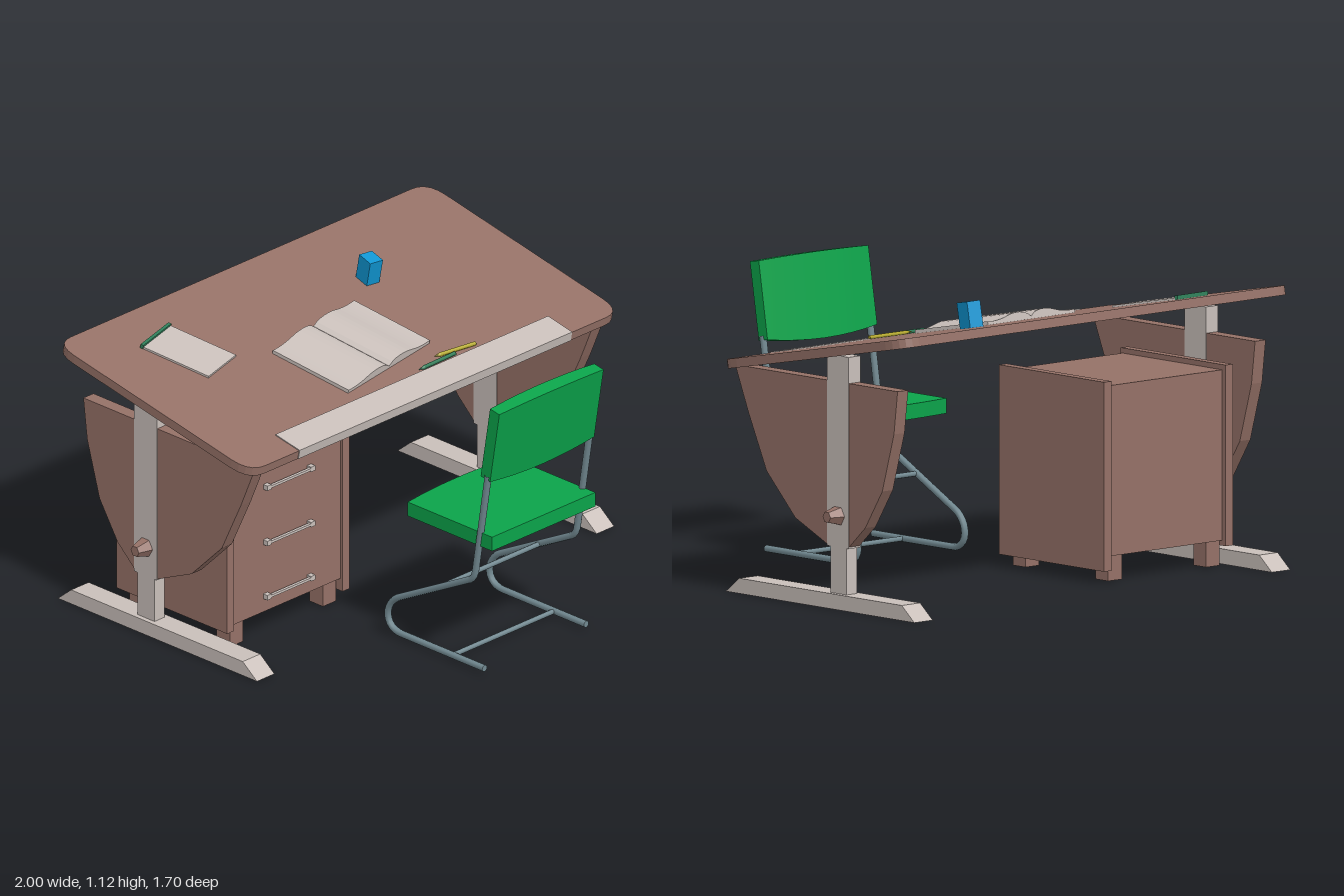
import * as THREE from 'three';

const mat = (name, color) => {
  const m = new THREE.MeshStandardMaterial({ color, side: THREE.DoubleSide });
  m.name = name;
  return m;
};

export function createModel() {
  const wood = mat('brown wood', 0x957167);
  const beige = mat('pale beige', 0xc9bfba);
  const green = mat('chair green', 0x0ba34a);
  const steel = mat('blue grey steel', 0x718890);
  const blue = mat('bright blue', 0x1097d4);
  const yellow = mat('pencil yellow', 0xb9ad2c);
  const teal = mat('dark green', 0x2f7d58);

  const model = new THREE.Group();
  model.name = 'school desk and chair';
  const group = (name, parent = model) => {
    const g = new THREE.Group();
    g.name = name;
    parent.add(g);
    return g;
  };
  const add = (parent, name, geo, material, x = 0, y = 0, z = 0) => {
    const m = new THREE.Mesh(geo, material);
    m.name = name;
    m.position.set(x, y, z);
    parent.add(m);
    return m;
  };
  // box given by its min and max on each axis
  const box = (parent, name, material, x0, x1, y0, y1, z0, z1) =>
    add(parent, name, new THREE.BoxGeometry(x1 - x0, y1 - y0, z1 - z0), material,
      (x0 + x1) / 2, (y0 + y1) / 2, (z0 + z1) / 2);
  // side outline in (z, y), extruded across x
  const sideExtrude = (points, width) => {
    const shape = new THREE.Shape(points.map(([z, y]) => new THREE.Vector2(z, y)));
    return new THREE.ExtrudeGeometry(shape, { depth: width, bevelEnabled: false })
      .translate(0, 0, -width / 2).rotateY(-Math.PI / 2);
  };

  // tilted table top with rounded corners; objects on it share its tilt
  const top = group('table top');
  top.position.set(0, 0.965, -0.31);
  top.rotation.x = 0.19;
  const hw = 0.997, hl = 0.522, r = 0.1, rx = 0.08, thick = 0.036, surf = thick / 2;
  const s = new THREE.Shape();
  s.moveTo(-hw + rx, -hl);
  s.lineTo(hw - rx, -hl);
  s.quadraticCurveTo(hw, -hl, hw, -hl + r);
  s.lineTo(hw, hl - r);
  s.quadraticCurveTo(hw, hl, hw - rx, hl);
  s.lineTo(-hw + rx, hl);
  s.quadraticCurveTo(-hw, hl, -hw, hl - r);
  s.lineTo(-hw, -hl + r);
  s.quadraticCurveTo(-hw, -hl, -hw + rx, -hl);
  add(top, 'board', new THREE.ExtrudeGeometry(s, { depth: thick, bevelEnabled: false, curveSegments: 5 })
    .translate(0, 0, -thick / 2).rotateX(-Math.PI / 2), wood);
  box(top, 'front edge strip', beige, -0.735, 0.73, -surf + 0.001, surf + 0.004, 0.395, hl + 0.003);

  // open book: two arched halves
  const book = group('open book', top);
  book.position.set(-0.064, surf, 0.13);
  book.rotation.y = 0.14;
  for (const side of [-1, 1]) {
    const page = new THREE.Shape();
    page.moveTo(0, 0);
    page.lineTo(0, 0.01);
    page.bezierCurveTo(side * 0.03, 0.04, side * 0.1, 0.036, side * 0.14, 0.024);
    page.quadraticCurveTo(side * 0.2, 0.008, side * 0.257, 0.014);
    page.lineTo(side * 0.257, 0);
    add(book, 'book half', new THREE.ExtrudeGeometry(page, { depth: 0.36, bevelEnabled: false, curveSegments: 6 })
      .translate(0, 0, -0.18), beige);
  }

  // notepad with a bound edge
  const pad = group('notepad', top);
  pad.position.set(-0.609, surf, -0.192);
  pad.rotation.y = 0.237;
  box(pad, 'pad sheet', beige, -0.1, 0.1, 0, 0.008, -0.145, 0.145);
  box(pad, 'pad binding', teal, -0.102, 0.102, 0, 0.016, -0.158, -0.145);

  // pencil cup and pencils
  add(top, 'pencil cup', new THREE.BoxGeometry(0.06, 0.1, 0.07), blue, 0.328, surf + 0.05, -0.172).rotation.y = -0.14;
  const pencil = (name, material, x, z, turn) => {
    const p = group(name, top);
    p.position.set(x, surf + 0.008, z);
    p.rotation.y = turn;
    add(p, 'pencil body', new THREE.CylinderGeometry(0.008, 0.008, 0.17, 6).rotateZ(Math.PI / 2), material);
    add(p, 'pencil tip', new THREE.ConeGeometry(0.008, 0.03, 6).rotateZ(Math.PI / 2), material, -0.1);
  };
  pencil('green pencil', teal, 0.155, 0.385, 0.02);
  pencil('yellow pencil', yellow, 0.27, 0.368, -0.12);

  // mirrored leg assemblies
  const panel = [[0.17, 0.855], [0.13, 0.76], [0.1, 0.69], [0, 0.48], [-0.16, 0.32], [-0.345, 0.237], [-0.455, 0.237],
    [-0.55, 0.325], [-0.645, 0.475], [-0.71, 0.7], [-0.73, 0.865], [0.165, 0.865]];
  const foot = [[0.205, 0], [0.13, 0.058], [-0.775, 0.058], [-0.845, 0]];
  for (const side of [-1, 1]) {
    const leg = group(side > 0 ? 'left leg' : 'right leg');
    leg.position.x = side * 0.913;
    add(leg, 'side panel', sideExtrude(panel, 0.054), wood);
    box(leg, 'upper post', beige, -0.03, 0.03, 0.235, 0.965, -0.46, -0.34);
    box(leg, 'lower post', beige, -0.027, 0.027, 0.05, 0.24, -0.445, -0.355);
    add(leg, 'foot', sideExtrude(foot, 0.094), beige);
    const knob = add(leg, 'height knob', new THREE.CylinderGeometry(0.022, 0.039, 0.06, 6).toNonIndexed(),
      wood, side * 0.057, 0.355, -0.4);
    knob.geometry.computeVertexNormals();
    knob.rotation.z = -side * Math.PI / 2;
  }

  // drawer cabinet
  const cabinet = group('drawer cabinet');
  box(cabinet, 'cabinet body', wood, -0.825, -0.235, 0.1, 0.75, -0.615, -0.06);
  box(cabinet, 'cabinet outer side', wood, -0.86, -0.823, 0.08, 0.77, -0.635, -0.05);
  box(cabinet, 'cabinet inner side', wood, -0.24, -0.202, 0.048, 0.77, -0.635, -0.05);
  for (const x of [-0.785, -0.285])
    for (const z of [-0.11, -0.57])
      box(cabinet, 'cabinet foot', wood, x - 0.035, x + 0.035, 0.004, 0.105, z - 0.035, z + 0.035);
  for (const y of [0.62, 0.39, 0.165]) {
    box(cabinet, 'drawer handle', beige, -0.65, -0.405, y - 0.005, y + 0.005, -0.05, -0.038);
    for (const x of [-0.645, -0.41])
      box(cabinet, 'handle end', beige, x - 0.011, x + 0.011, y - 0.01, y + 0.01, -0.062, -0.038);
  }

  // chair, facing the desk
  const chair = group('chair');
  chair.position.x = -0.037;
  // slab whose chosen edges bow out towards the middle
  const bowedSlab = (w, h, d, rule) => {
    const g = new THREE.BoxGeometry(w, h, d, 8, 1, 1);
    const p = g.attributes.position;
    for (let i = 0; i < p.count; i++) {
      const u = 1 - (2 * p.getX(i) / w) ** 2;
      rule(p, i, u);
    }
    g.computeVertexNormals();
    return g;
  };
  add(chair, 'seat', bowedSlab(0.555, 0.058, 0.445, (p, i, u) => {
    if (p.getZ(i) < 0) p.setZ(i, p.getZ(i) - 0.02 * u);
  }), green, 0, 0.554, 0.589);
  const back = add(chair, 'backrest', bowedSlab(0.56, 0.3, 0.05, (p, i, u) => {
    if (p.getZ(i) < 0) p.setZ(i, p.getZ(i) - 0.01 * u);
    p.setY(i, p.getY(i) + (p.getY(i) < 0 ? -0.022 : 0.005) * u);
  }), green, 0, 0.963, 0.803);
  back.rotation.x = 0.165;

  // bent tube frame
  const rad = 0.0135, half = 0.273;
  const v = (z, y) => new THREE.Vector3(0, y, z);
  const path = new THREE.CurvePath();
  path.add(new THREE.LineCurve3(v(0.787, 0.83), v(0.72, 0.41)));
  path.add(new THREE.QuadraticBezierCurve3(v(0.72, 0.41), v(0.715, 0.378), v(0.685, 0.363)));
  path.add(new THREE.LineCurve3(v(0.685, 0.363), v(0.31, 0.165)));
  path.add(new THREE.CubicBezierCurve3(v(0.31, 0.165), v(0.24, 0.125), v(0.235, 0.022), v(0.33, 0.022)));
  path.add(new THREE.LineCurve3(v(0.33, 0.022), v(0.76, 0.022)));
  for (const side of [-1, 1]) {
    add(chair, 'frame tube', new THREE.TubeGeometry(path, 90, rad, 8), steel, side * half);
    add(chair, 'tube end', new THREE.CylinderGeometry(rad, rad, 0.01, 8).rotateX(Math.PI / 2), steel, side * half, 0.022, 0.763);
  }
  for (const [y, z] of [[0.278, 0.525], [0.022, 0.6]])
    add(chair, 'cross bar', new THREE.CylinderGeometry(0.01, 0.01, 2 * half, 8).rotateZ(Math.PI / 2), steel, 0, y, z);

  return model;
}
